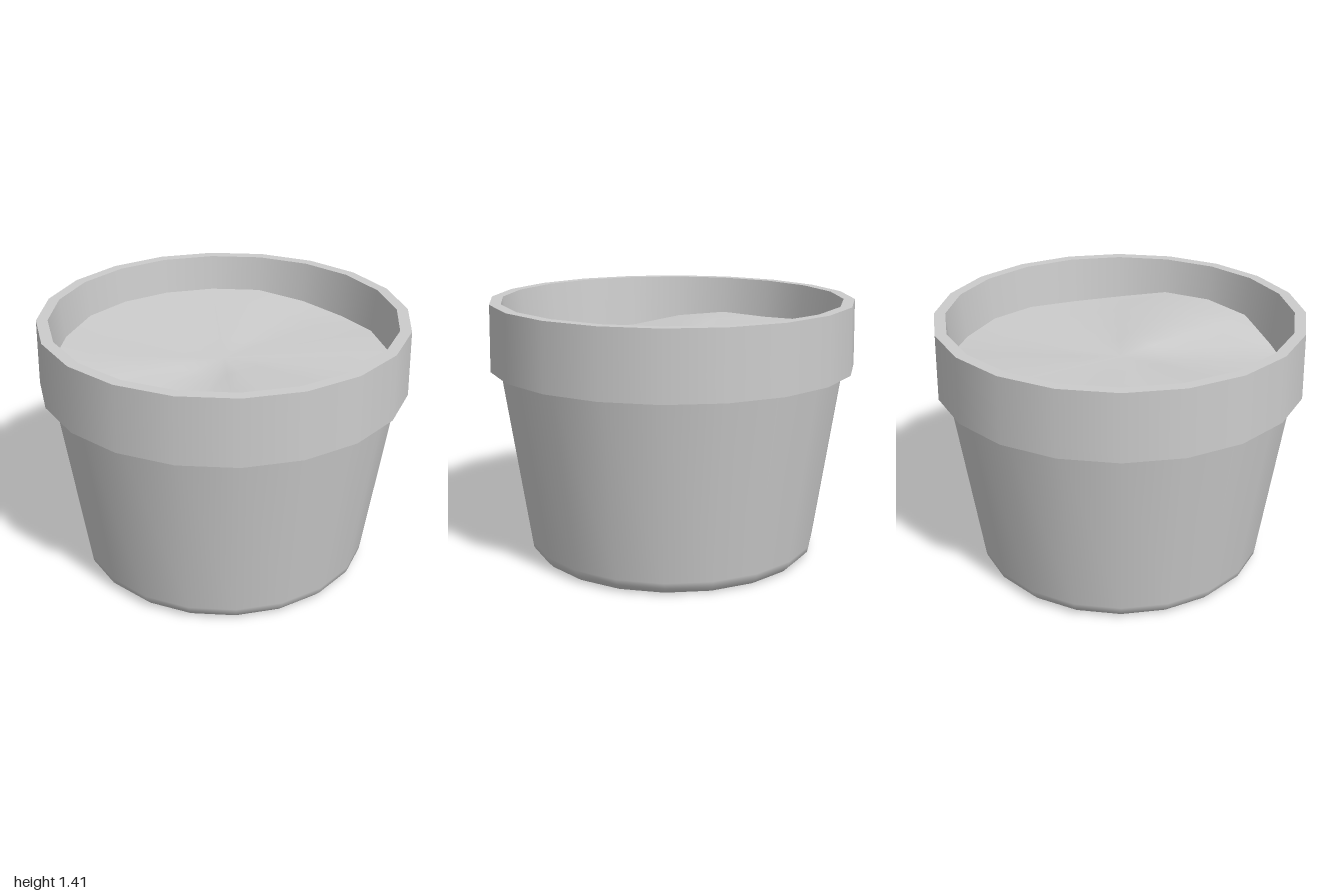
import * as THREE from 'three';
import { mergeVertices } from 'three/addons/utils/BufferGeometryUtils.js';

const SIDES = 20;
const material = new THREE.MeshStandardMaterial({ color: 0xcccccc });

// One smooth band of the pot; separate bands meet at sharp edges
function band(name, profile) {
  const points = profile.map(([r, y]) => new THREE.Vector2(r, y));
  const mesh = new THREE.Mesh(new THREE.LatheGeometry(points, SIDES), material);
  mesh.name = name;
  return mesh;
}

// Soil height around the wall: [angle in degrees from +x towards +z, height]
const SOIL_EDGE = [
  [-158, 1.21], [-121, 1.21], [-97, 1.16], [-67, 1.17], [-28, 1.15], [1, 1.21],
  [28, 1.21], [55, 1.11], [83, 1.11], [124, 1.2], [149, 1.19], [164, 1.21], [202, 1.21],
];

function edgeHeight(x, z) {
  let angle = THREE.MathUtils.radToDeg(Math.atan2(z, x));
  if (angle < -158) angle += 360;
  const i = Math.max(1, SOIL_EDGE.findIndex(([a]) => a >= angle));
  const [a0, h0] = SOIL_EDGE[i - 1];
  const [a1, h1] = SOIL_EDGE[i];
  return THREE.MathUtils.lerp(h0, h1, THREE.MathUtils.smoothstep(angle, a0, a1));
}

// Uneven soil: a disc whose height blends from the centre to the edge
function makeSoil() {
  const radius = 0.907;
  const centre = 1.16;
  let geometry = new THREE.RingGeometry(0, radius, SIDES, 4).rotateX(-Math.PI / 2);
  const pos = geometry.attributes.position;
  for (let i = 0; i < pos.count; i++) {
    const x = pos.getX(i), z = pos.getZ(i);
    const t = Math.min(1, Math.hypot(x, z) / radius);
    pos.setY(i, THREE.MathUtils.lerp(centre, edgeHeight(x, z), t));
  }
  geometry.deleteAttribute('uv');
  geometry.deleteAttribute('normal');
  geometry = mergeVertices(geometry, 1e-4);
  geometry.computeVertexNormals();
  const mesh = new THREE.Mesh(geometry, material);
  mesh.name = 'soil';
  return mesh;
}

export function createModel() {
  const pot = new THREE.Group();
  pot.name = 'flowerPot';
  pot.add(
    // Tapered body with a softened foot
    band('body', [[0, 0], [0.75, 0], [0.765, 0.005], [0.798, 0.04], [0.803, 0.07], [0.945, 1.05]]),
    // Collar: underside, outside, lip and inner wall
    band('collarUnderside', [[0.94, 1.05], [1, 1.05]]),
    band('collar', [[1, 1.05], [0.993, 1.41]]),
    band('lip', [[0.993, 1.41], [0.932, 1.41]]),
    band('innerWall', [[0.932, 1.41], [0.895, 1.06]]),
    makeSoil(),
  );
  return pot;
}
